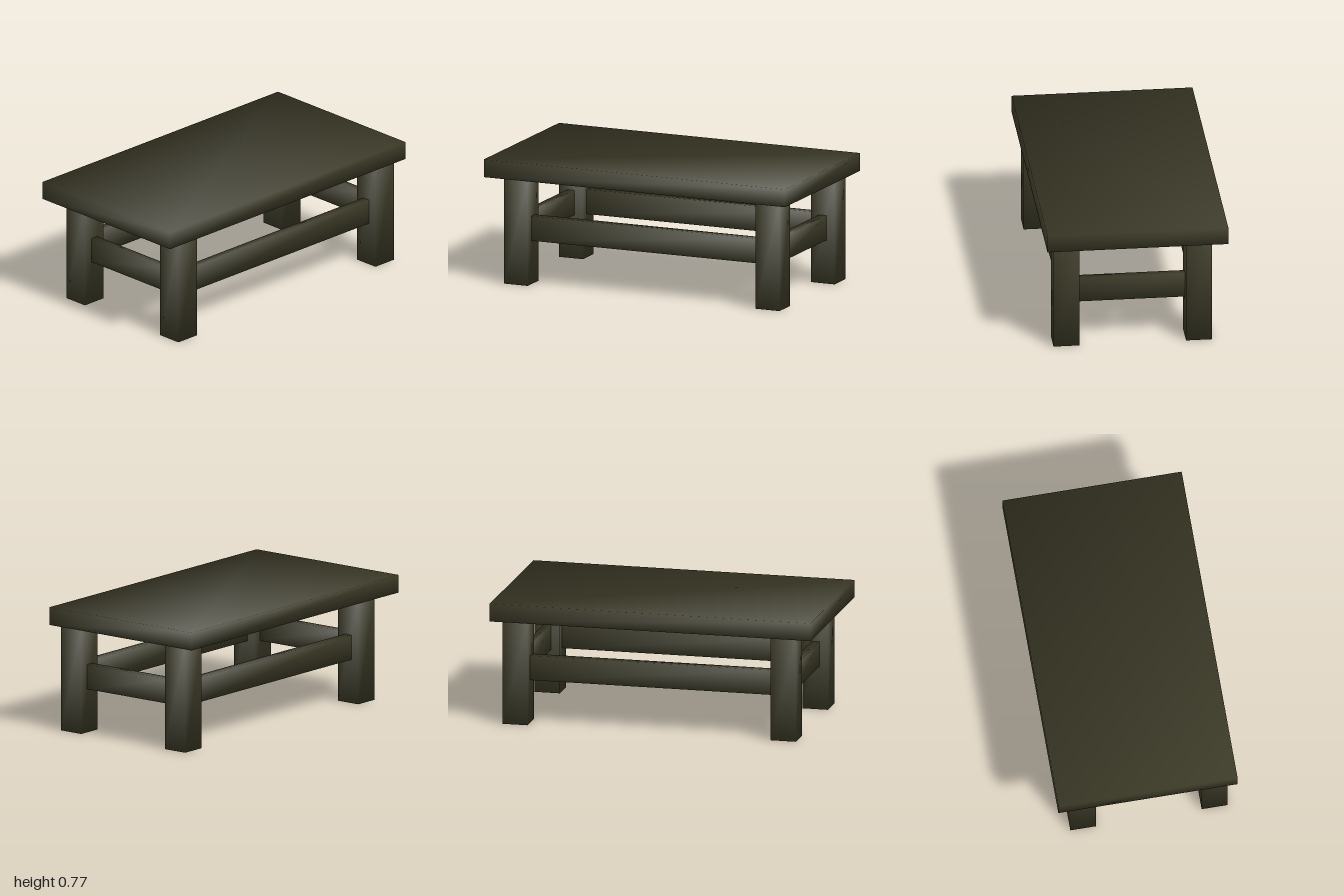
import * as THREE from 'three';

const wood = new THREE.MeshStandardMaterial({ color: 0x3b3926 });
wood.name = 'dark olive wood';

// Box from its extents, with normals blended across the corners
function softBox(name, [x0, x1], [y0, y1], [z0, z1]) {
  const geometry = new THREE.BoxGeometry(x1 - x0, y1 - y0, z1 - z0);
  const { position, normal } = geometry.attributes;
  const n = new THREE.Vector3();
  for (let i = 0; i < position.count; i++) {
    n.set(Math.sign(position.getX(i)), Math.sign(position.getY(i)), Math.sign(position.getZ(i))).normalize();
    normal.setXYZ(i, n.x, n.y, n.z);
  }
  const mesh = new THREE.Mesh(geometry, wood);
  mesh.name = name;
  mesh.position.set((x0 + x1) / 2, (y0 + y1) / 2, (z0 + z1) / 2);
  return mesh;
}

const around = (centre, width) => [centre - width / 2, centre + width / 2];

export function createModel() {
  const table = new THREE.Group();
  table.name = 'table';

  const legX = { right: -0.807, left: 0.865 };
  const legZ = { front: 0.428, back: -0.378 };
  const legWidth = 0.158, railThickness = 0.05, railY = [0.269, 0.422];
  const inset = legWidth / 2;

  table.add(softBox('tabletop', [-1, 1], [0.658, 0.768], [-0.55, 0.55]));

  // Four legs
  for (const [side, x] of Object.entries(legX))
    for (const [end, z] of Object.entries(legZ))
      table.add(softBox(`${end} ${side} leg`, around(x, legWidth), [0, 0.658], around(z, legWidth)));

  // Long rails between the legs at the front and back
  for (const [end, z] of Object.entries(legZ))
    table.add(softBox(`${end} rail`, [legX.right + inset, legX.left - inset], railY, around(z, railThickness)));

  // Short rails at the two ends
  for (const [side, x] of Object.entries(legX))
    table.add(softBox(`${side} rail`, around(x, railThickness), railY, [legZ.back + inset, legZ.front - inset]));

  return table;
}
